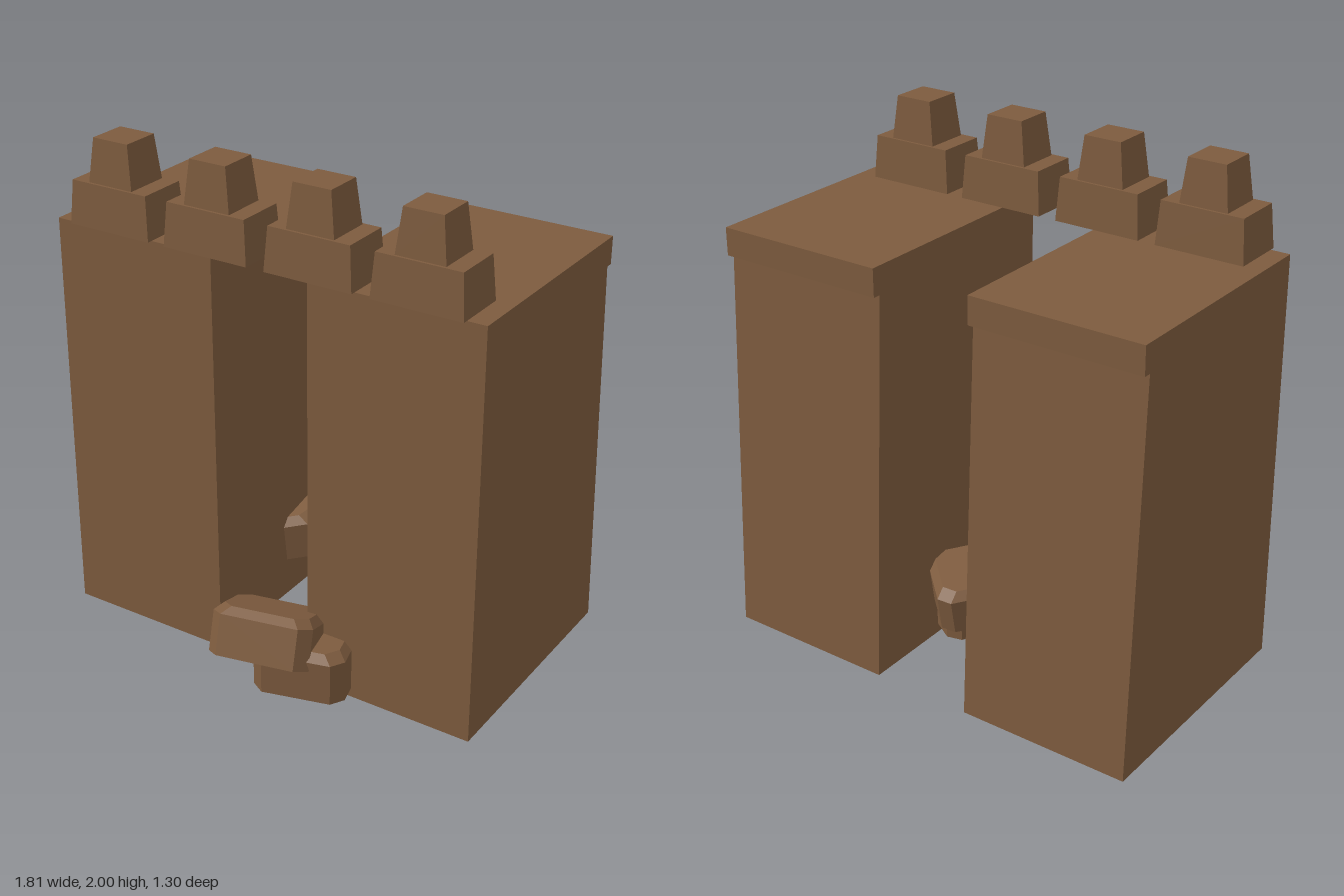
import * as THREE from 'three';
import { ConvexGeometry } from 'three/addons/geometries/ConvexGeometry.js';

// Box whose top is narrower than its base, standing on y = 0
function taperedBox(w, h, d, topW, topD) {
  const g = new THREE.BoxGeometry(w, h, d).toNonIndexed();
  g.translate(0, h / 2, 0);
  const p = g.attributes.position;
  for (let i = 0; i < p.count; i++) {
    if (p.getY(i) > h / 2) {
      p.setX(i, Math.sign(p.getX(i)) * topW / 2);
      p.setZ(i, Math.sign(p.getZ(i)) * topD / 2);
    }
  }
  g.computeVertexNormals();
  return g;
}

// Block with cut corners, a chamfered top and a flat underside
function stoneGeometry(w, h, d, cut = 0.045, chamfer = 0.03) {
  const pts = [];
  const ring = (y, inset) => {
    const a = w / 2 - inset, b = d / 2 - inset;
    for (const sx of [-1, 1]) for (const sz of [-1, 1]) {
      pts.push(new THREE.Vector3(sx * a, y, sz * (b - cut)));
      pts.push(new THREE.Vector3(sx * (a - cut), y, sz * b));
    }
  };
  ring(-h / 2, 0);
  ring(h / 2 - chamfer, 0);
  ring(h / 2, chamfer);
  return new ConvexGeometry(pts);
}

export function createModel() {
  const model = new THREE.Group();
  const brown = new THREE.MeshStandardMaterial({ color: 0x7d5b3e });
  brown.name = 'brownStone';

  const add = (name, geometry, x, y, z) => {
    const mesh = new THREE.Mesh(geometry, brown);
    mesh.name = name;
    mesh.position.set(x, y, z);
    model.add(mesh);
    return mesh;
  };

  // Wall towers: side profile (z, y) with a sloping back and a lip at the top
  const profile = new THREE.Shape([
    [0.38, 0], [0.38, 1.66], [-0.58, 1.66], [-0.58, 1.55], [-0.55, 1.55], [-0.637, 0],
  ].map(([z, y]) => new THREE.Vector2(z, y)));
  const tower = new THREE.ExtrudeGeometry(profile, { depth: 0.7, bevelEnabled: false });
  tower.rotateY(-Math.PI / 2);
  tower.translate(0.35, 0, 0);
  add('rightTower', tower, -0.555, 0, 0);
  add('leftTower', tower, 0.555, 0, 0);

  // Two-step battlements along the front edge
  const base = taperedBox(0.36, 0.17, 0.22, 0.335, 0.2);
  const cap = taperedBox(0.195, 0.17, 0.18, 0.155, 0.155);
  for (const x of [-0.648, -0.217, 0.217, 0.648]) {
    add('battlementBase', base, x, 1.66, 0.29);
    add('battlementCap', cap, x, 1.83, 0.29);
  }

  // Fallen stones: size, position, yaw, pitch, roll
  const stones = [
    ['frontUpperStone', [0.4, 0.19, 0.28], [0.09, 0.23, 0.465], [0.22, -0.35, 0]],
    ['frontLowerStone', [0.36, 0.2, 0.27], [0.225, 0.14, 0.42], [0.27, 0, 0]],
    ['backUpperStone', [0.33, 0.17, 0.26], [0.07, 0.26, -0.25], [-0.76, -0.12, 0.1]],
    ['backLowerStone', [0.31, 0.19, 0.27], [0.14, 0.135, -0.15], [-0.55, 0, 0]],
    ['sideStone', [0.27, 0.19, 0.3], [-0.255, 0.28, -0.215], [0.48, 0.12, 0.25]],
  ];
  for (const [name, size, pos, [yaw, pitch, roll]] of stones) {
    add(name, stoneGeometry(...size), ...pos).rotation.set(pitch, yaw, roll, 'YXZ');
  }

  return model;
}
